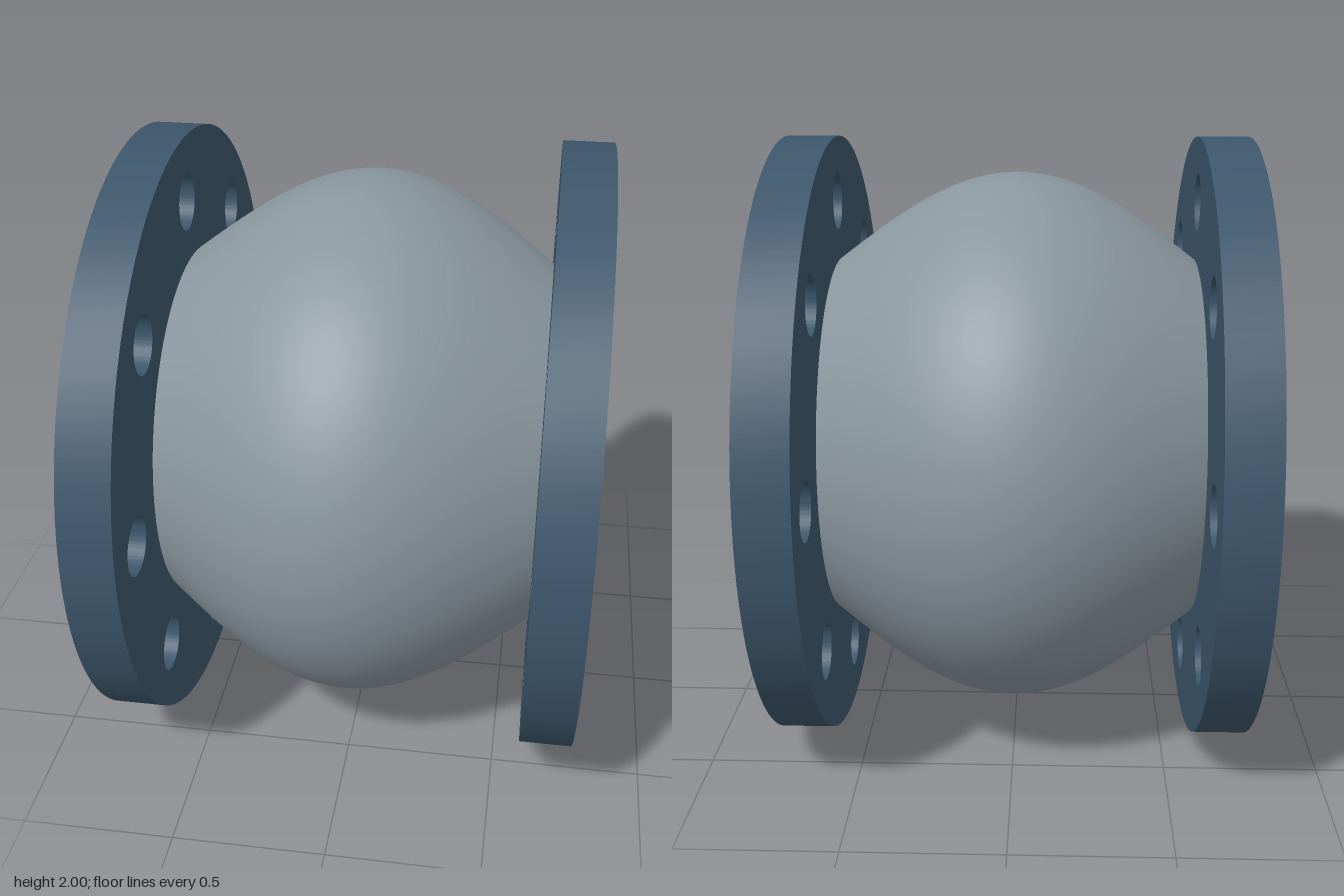
import * as THREE from 'three';
import { toCreasedNormals } from 'three/addons/utils/BufferGeometryUtils.js';

const HALF = 0.59;        // half length of the bulging body
const FLANGE = 0.165;     // flange thickness
const BORE = 0.525;

// Bulging sleeve with a wall of even thickness, turned about x
function bodyGeometry() {
  const n = 32, outer = [], inner = [];
  for (let i = 0; i <= n; i++) {
    const x = -HALF + (2 * HALF * i) / n;
    const bulge = 0.285 * Math.cos((Math.PI / 2) * (x / HALF));
    outer.push(new THREE.Vector2(0.6 + bulge, x));
    inner.unshift(new THREE.Vector2(BORE + bulge, x));
  }
  const profile = [...outer, ...inner, outer[0].clone()];
  const geo = new THREE.LatheGeometry(profile, 96);
  geo.rotateZ(-Math.PI / 2);
  return toCreasedNormals(geo, 0.6);
}

// Ring with a bore and eight bolt holes, extruded along x
function flangeGeometry() {
  const shape = new THREE.Shape().absarc(0, 0, 1, 0, Math.PI * 2, false);
  const addHole = (x, y, r) =>
    shape.holes.push(new THREE.Path().absarc(x, y, r, 0, Math.PI * 2, true));
  addHole(0, 0, BORE);
  for (let i = 0; i < 8; i++) {
    const a = (i * Math.PI) / 4;
    addHole(0.793 * Math.cos(a), 0.793 * Math.sin(a), 0.092);
  }
  const geo = new THREE.ExtrudeGeometry(shape, { depth: FLANGE, bevelEnabled: false, curveSegments: 64 });
  geo.translate(0, 0, -FLANGE / 2);
  geo.rotateY(Math.PI / 2);
  return toCreasedNormals(geo, 0.6);
}

export function createModel() {
  const model = new THREE.Group();
  model.name = 'expansionJoint';

  const body = new THREE.Mesh(bodyGeometry(), new THREE.MeshStandardMaterial({ color: 0x8a979f }));
  body.name = 'bellowsBody';
  body.position.y = 1;
  model.add(body);

  // Matching flanges at both ends
  const flangeGeo = flangeGeometry();
  const flangeMat = new THREE.MeshStandardMaterial({ color: 0x3d566b });
  for (const [name, side] of [['leftFlange', 1], ['rightFlange', -1]]) {
    const flange = new THREE.Mesh(flangeGeo, flangeMat);
    flange.name = name;
    flange.position.set(side * (HALF + FLANGE / 2), 1, 0);
    model.add(flange);
  }
  return model;
}
